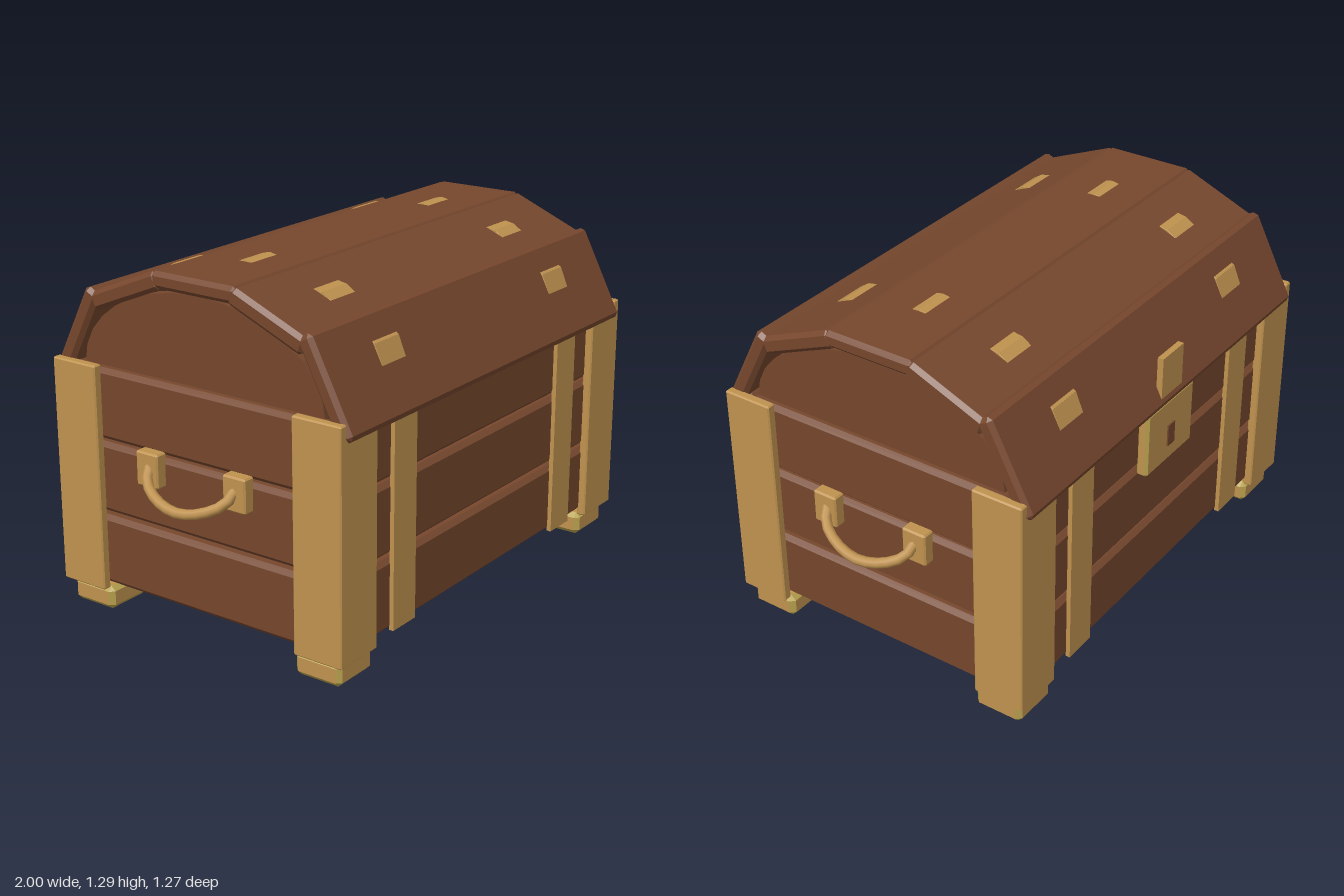
import * as THREE from 'three';
import { ConvexGeometry } from 'three/addons/geometries/ConvexGeometry.js';

const mat = (name, color) => {
  const m = new THREE.MeshStandardMaterial({ color });
  m.name = name;
  return m;
};

// Box with every edge chamfered; group 0 = flat faces, group 1 = chamfers
function chamferBox(w, h, d, c) {
  const pts = [];
  for (const x of [-1, 1]) for (const y of [-1, 1]) for (const z of [-1, 1]) {
    const X = w / 2, Y = h / 2, Z = d / 2;
    pts.push(new THREE.Vector3(x * X, y * (Y - c), z * (Z - c)));
    pts.push(new THREE.Vector3(x * (X - c), y * Y, z * (Z - c)));
    pts.push(new THREE.Vector3(x * (X - c), y * (Y - c), z * Z));
  }
  const geo = new ConvexGeometry(pts);
  const p = geo.attributes.position, n = geo.attributes.normal;
  const flat = [], cut = [];
  for (let i = 0; i < p.count; i += 3) {
    const axis = Math.max(Math.abs(n.getX(i)), Math.abs(n.getY(i)), Math.abs(n.getZ(i)));
    (axis > 0.98 ? flat : cut).push(i, i + 1, i + 2);
  }
  geo.setIndex([...flat, ...cut]);
  geo.addGroup(0, flat.length, 0);
  geo.addGroup(flat.length, cut.length, 1);
  return geo;
}

export function createModel() {
  const wood = mat('brown wood', 0x76472d);
  const brass = mat('tan metal', 0xbf924f);
  const edge = mat('yellow metal edge', 0xb8a24e);
  const model = new THREE.Group();
  model.name = 'chest';

  const add = (name, geo, material, x, y, z) => {
    const m = new THREE.Mesh(geo, material);
    m.name = name;
    m.position.set(x, y, z);
    model.add(m);
    return m;
  };
  const box = (name, material, x0, x1, y0, y1, z0, z1) =>
    add(name, new THREE.BoxGeometry(x1 - x0, y1 - y0, z1 - z0), material,
      (x0 + x1) / 2, (y0 + y1) / 2, (z0 + z1) / 2);

  // Wall planks, three rows with open gaps
  const longPlank = chamferBox(1.73, 0.26, 0.06, 0.017);
  const sidePlank = chamferBox(0.06, 0.26, 1.08, 0.017);
  [0.23, 0.505, 0.775].forEach((y) => {
    for (const s of [-1, 1]) {
      add('wallPlank', longPlank, [wood, wood], 0, y, s * 0.56);
      add('endPlank', sidePlank, [wood, wood], s * 0.84, y, 0);
    }
  });
  box('floor', wood, -0.82, 0.82, 0.125, 0.16, -0.54, 0.54);

  // Corner posts, feet and wall straps
  const postSide = chamferBox(0.035, 0.835, 0.195, 0.005);
  const postFront = chamferBox(0.2, 0.795, 0.035, 0.005);
  const footGeo = chamferBox(0.19, 0.088, 0.187, 0.018);
  const strapGeo = new THREE.BoxGeometry(0.13, 0.78, 0.018);
  for (const sx of [-1, 1]) for (const sz of [-1, 1]) {
    add('postSide', postSide, [brass, brass], sx * 0.885, 0.5025, sz * 0.521);
    add('postFront', postFront, [brass, brass], sx * 0.801, 0.4825, sz * 0.601);
    add('foot', footGeo, [brass, edge], sx * 0.786, 0.044, sz * 0.502);
    add('wallStrap', strapGeo, brass, sx * 0.525, 0.49, sz * 0.597);
  }

  // Beam whose outer face runs from (z0, y0) down to (z1, y1) on side s
  const beam = (name, [z0, y0], [z1, y1], s, x, width, t, c, material) => {
    const a = Math.atan2(y0 - y1, z1 - z0);
    const geo = chamferBox(width, t, Math.hypot(z1 - z0, y1 - y0), c);
    const m = add(name, geo, [material, material], x,
      (y0 + y1) / 2 - Math.cos(a) * t / 2, s * ((z0 + z1) / 2 - Math.sin(a) * t / 2));
    m.rotation.x = s * a;
  };

  // Faceted lid, with strap chords that surface in the middle of each plank
  const strapLine = [[0, 1.293], [0.32, 1.234], [0.53, 1.098], [0.622, 0.88]];
  beam('lidPlank', [-0.18, 1.288], [0.18, 1.288], 1, 0, 1.75, 0.06, 0.015, wood);
  for (const s of [-1, 1]) {
    beam('lidPlank', [0.165, 1.29], [0.465, 1.166], s, 0, 1.75, 0.067, 0.015, wood);
    beam('lidPlank', [0.475, 1.192], [0.642, 0.868], s, 0, 1.75, 0.063, 0.015, wood);
    for (const x of [-0.53, 0.53]) for (let i = 0; i < 3; i++)
      beam('lidStrap', strapLine[i], strapLine[i + 1], s, x, 0.135, 0.018, 0.0005, brass);
  }

  // Arched end panels of the lid
  const arch = new THREE.Shape();
  for (let i = 0; i <= 16; i++) {
    const a = Math.PI * i / 16;
    arch[i ? 'lineTo' : 'moveTo'](0.515 * Math.cos(a), 0.91 + 0.315 * Math.sin(a));
  }
  const archGeo = new THREE.ExtrudeGeometry(arch, { depth: 0.04, bevelEnabled: false });
  archGeo.rotateY(Math.PI / 2);
  for (const s of [-1, 1]) add('lidEndPanel', archGeo, wood, s * 0.825 - 0.02, 0, 0);

  // Drooping handles, tilted outward, with mounting plates
  const half = [[0.898, 0.608, 0.187], [0.932, 0.567, 0.17], [0.966, 0.529, 0.1]];
  const plateGeo = chamferBox(0.05, 0.125, 0.096, 0.006);
  for (const s of [-1, 1]) {
    const path = [
      ...half.map(([x, y, z]) => new THREE.Vector3(s * x, y, z)),
      new THREE.Vector3(s * 0.981, 0.511, 0),
      ...half.slice().reverse().map(([x, y, z]) => new THREE.Vector3(s * x, y, -z)),
    ];
    const tube = new THREE.TubeGeometry(new THREE.CatmullRomCurve3(path), 12, 0.019, 8);
    add('handle', tube, brass, 0, 0, 0);
    for (const end of [path[0], path[path.length - 1]])
      add('handleEnd', new THREE.SphereGeometry(0.019, 8, 6), brass, end.x, end.y, end.z);
    for (const z of [-0.19, 0.19])
      add('handlePlate', plateGeo, [brass, brass], s * 0.887, 0.598, z);
  }

  // Lock plate, keyhole and hasp on the back
  add('lockPlate', chamferBox(0.31, 0.255, 0.045, 0.01), [brass, edge], 0, 0.742, -0.608);
  box('keyhole', wood, -0.022, 0.022, 0.68, 0.765, -0.636, -0.628);
  box('hasp', brass, -0.068, 0.068, 0.86, 1.055, -0.628, -0.605);

  return model;
}
